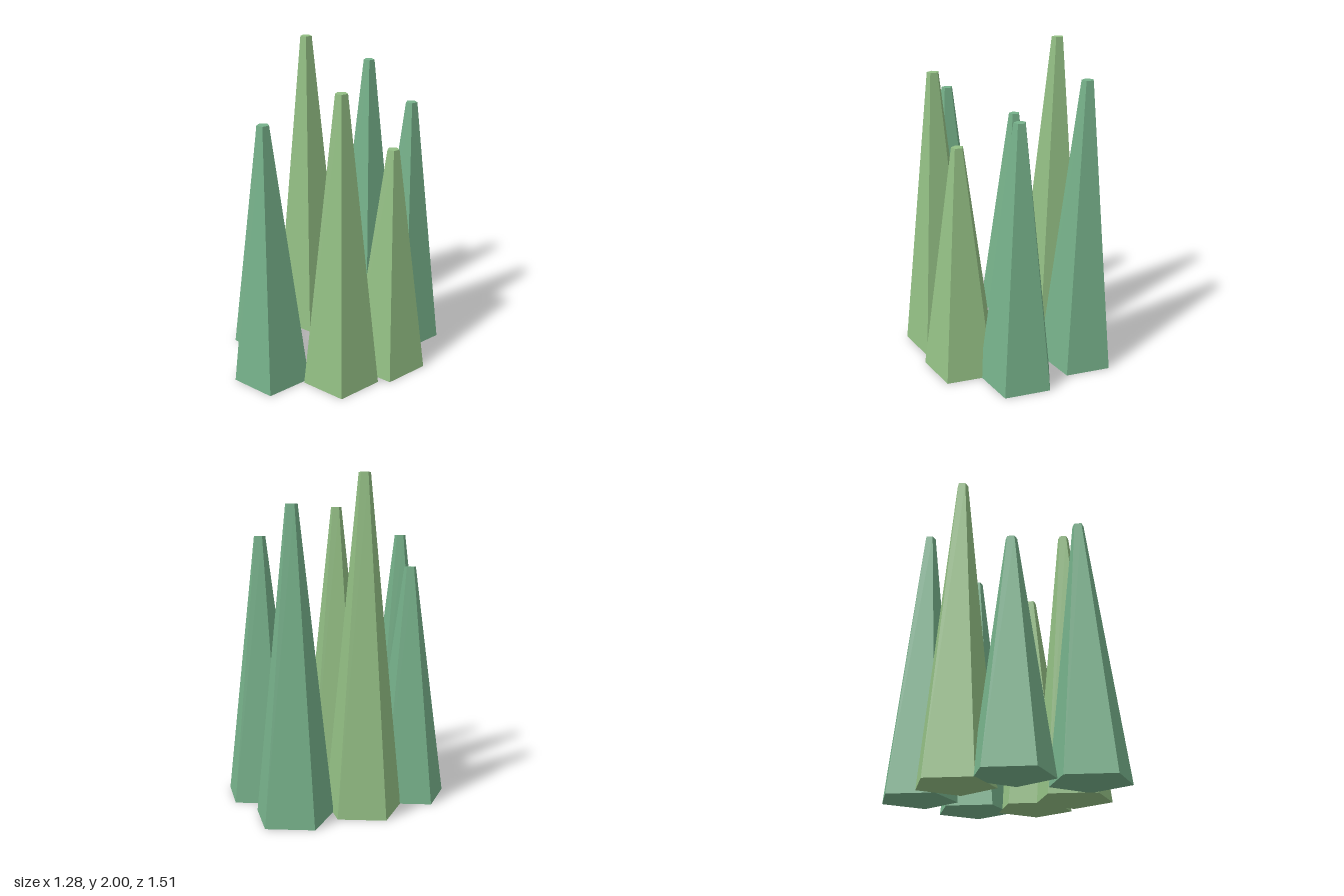
import * as THREE from 'three';

const BASE_RADIUS = 0.242;
const TIP_RADIUS = 0.037;

export function createModel() {
  const group = new THREE.Group();
  group.name = 'spikeCluster';

  const seaGreen = new THREE.MeshStandardMaterial({ color: 0x76b18a, flatShading: true });
  seaGreen.name = 'seaGreen';
  const leafGreen = new THREE.MeshStandardMaterial({ color: 0x93bf84, flatShading: true });
  leafGreen.name = 'leafGreen';

  // Ring of spikes: x, z, height, colour
  const spikes = [
    [-0.11, -0.515, 1.82, seaGreen],
    [0.31, -0.35, 1.635, seaGreen],
    [0.41, 0.02, 1.45, leafGreen],
    [0.26, 0.33, 1.82, leafGreen],
    [-0.11, 0.555, 1.635, seaGreen],
    [-0.412, 0.227, 1.45, seaGreen],
    [-0.343, -0.15, 2.0, leafGreen],
  ];

  spikes.forEach(([x, z, height, material], i) => {
    // Five-sided tapered spike, one corner pointing to the back
    const geometry = new THREE.CylinderGeometry(
      TIP_RADIUS, BASE_RADIUS, height, 5, 1, false, Math.PI);
    const spike = new THREE.Mesh(geometry, material);
    spike.name = `spike${i + 1}`;
    spike.position.set(x, height / 2, z);
    group.add(spike);
  });

  return group;
}
